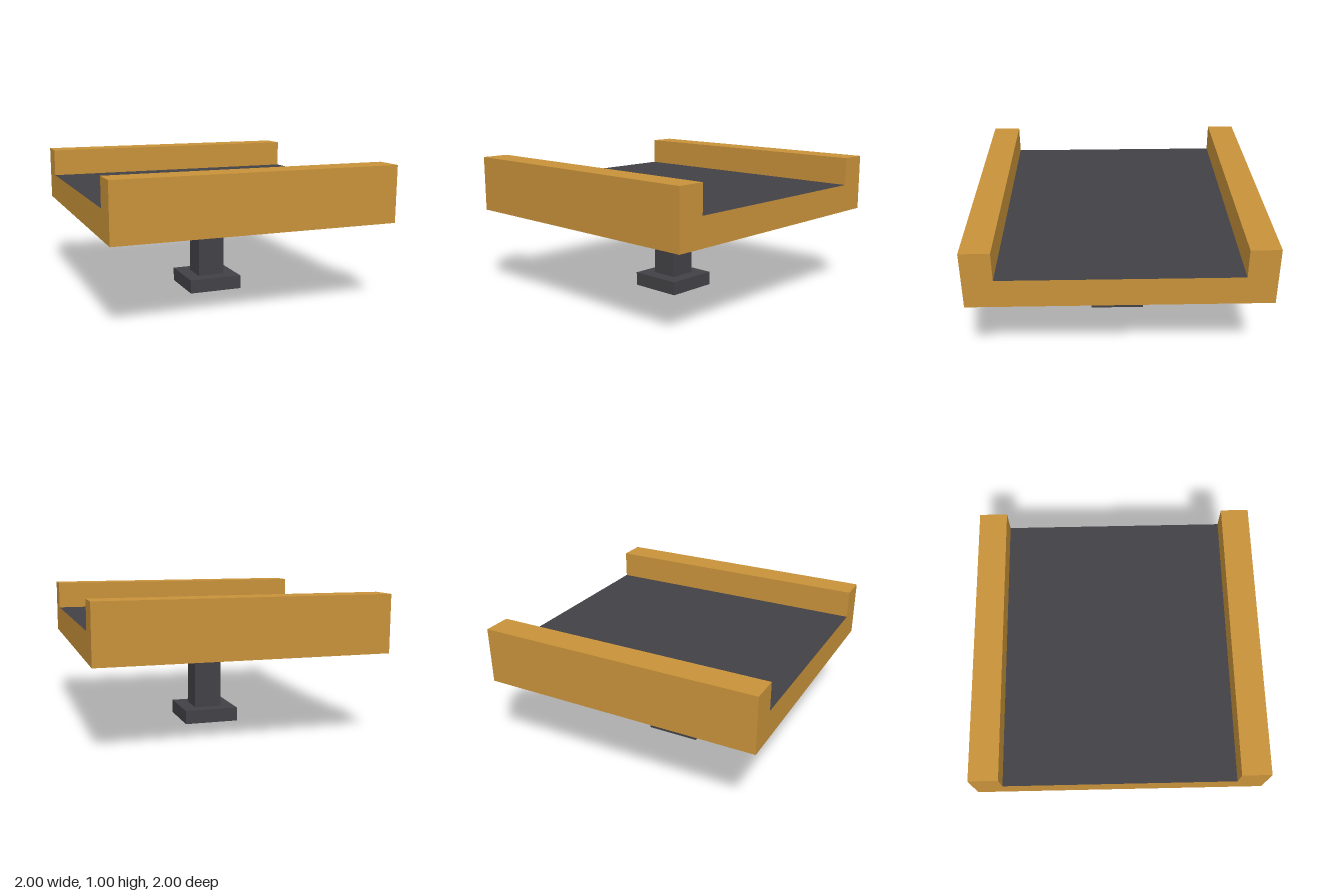
import * as THREE from 'three';

export function createModel() {
  const ochre = new THREE.MeshStandardMaterial({ color: 0xc8923a });
  ochre.name = 'ochre';
  const charcoal = new THREE.MeshStandardMaterial({ color: 0x424146 });
  charcoal.name = 'charcoal';

  const model = new THREE.Group();
  model.name = 'pedestalTray';

  const add = (name, geometry, material, y = 0) => {
    const mesh = new THREE.Mesh(geometry, material);
    mesh.name = name;
    mesh.position.y = y;
    model.add(mesh);
  };

  // Tray: one channel profile with raised front and back rails, run along x
  const profile = new THREE.Shape([
    [-1, 0.6], [1, 0.6], [1, 1], [0.8, 1],
    [0.8, 0.8], [-0.8, 0.8], [-0.8, 1], [-1, 1],
  ].map(([x, y]) => new THREE.Vector2(x, y)));
  const tray = new THREE.ExtrudeGeometry(profile, { depth: 2, bevelEnabled: false });
  tray.translate(0, 0, -1).rotateY(Math.PI / 2);

  // The deck and the underside are charcoal, every other face is ochre
  const pos = tray.attributes.position;
  tray.clearGroups();
  for (let i = 0; i < pos.count; i += 3) {
    const ys = [0, 1, 2].map((k) => pos.getY(i + k));
    const flatAt = (h) => ys.every((y) => Math.abs(y - h) < 1e-4);
    const normalIsVertical = Math.abs(tray.attributes.normal.getY(i)) > 0.9;
    const dark = normalIsVertical && (flatAt(0.6) || flatAt(0.8));
    tray.addGroup(i, 3, dark ? 1 : 0);
  }
  add('tray', tray, [ochre, charcoal]);

  // Square post and foot
  add('post', new THREE.BoxGeometry(0.2, 0.5, 0.2), charcoal, 0.35);
  add('foot', new THREE.BoxGeometry(0.4, 0.1, 0.4), charcoal, 0.05);

  return model;
}
